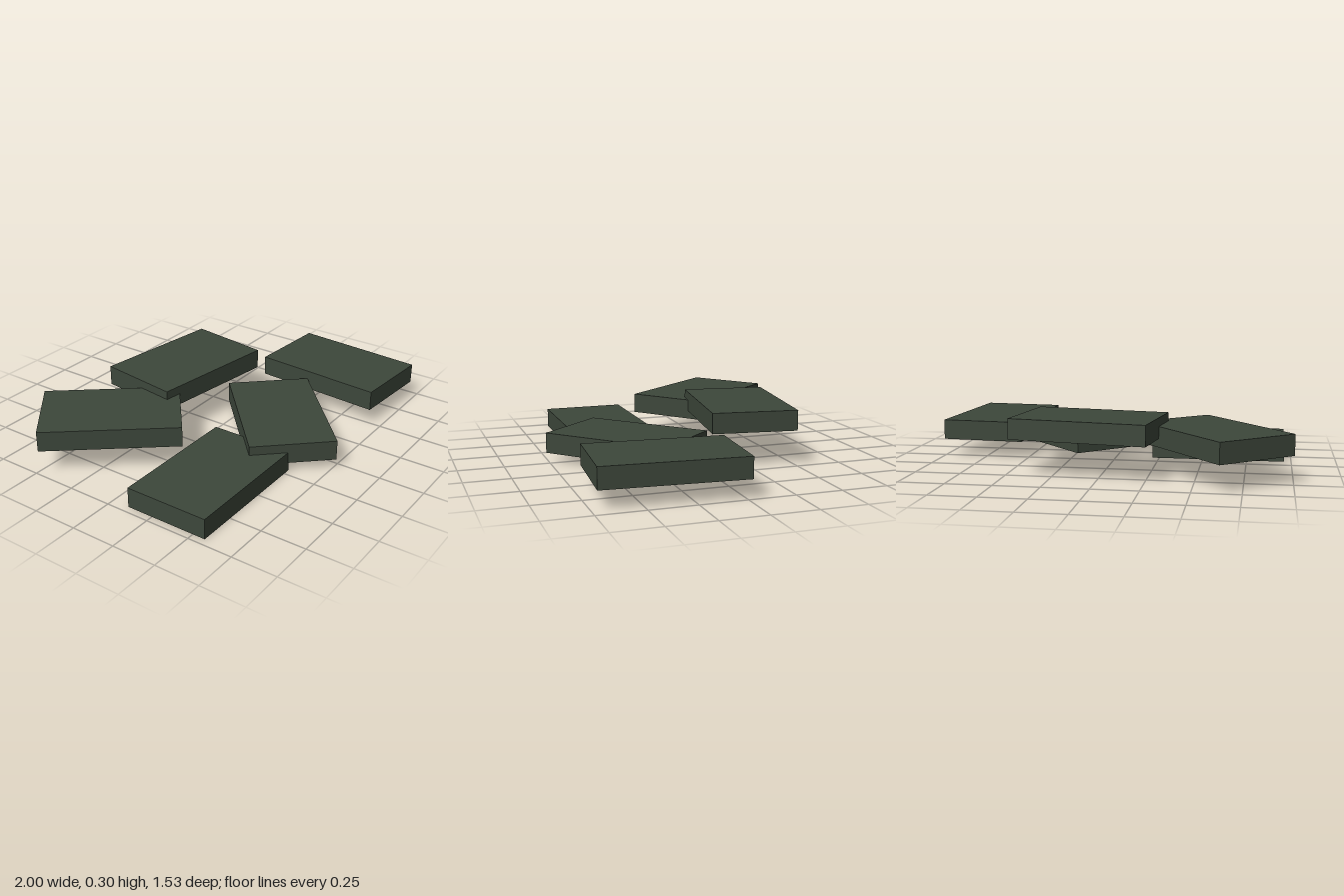
import * as THREE from 'three';

export function createModel() {
  const group = new THREE.Group();
  const darkGreen = new THREE.MeshStandardMaterial({ color: 0x3d473b });
  darkGreen.name = 'darkGreen';

  // Five identical flat slabs, scattered at different heights and turns
  const height = 0.112;
  const slab = new THREE.BoxGeometry(0.75, height, 0.47);

  // name, x, bottom y, z, turn about y in degrees
  const slabs = [
    ['frontRightSlab', -0.585, 0, 0.335, 0],
    ['frontMiddleSlab', 0.076, 0.05, 0.335, 42.8],
    ['frontLeftSlab', 0.737, 0.099, 0.332, 85.9],
    ['backRightSlab', -0.583, 0.145, -0.327, -50.7],
    ['backMiddleSlab', 0.078, 0.192, -0.325, -8.1],
  ];
  for (const [name, x, bottom, z, turn] of slabs) {
    const mesh = new THREE.Mesh(slab, darkGreen);
    mesh.name = name;
    mesh.position.set(x, bottom + height / 2, z);
    mesh.rotation.y = THREE.MathUtils.degToRad(turn);
    group.add(mesh);
  }
  return group;
}
